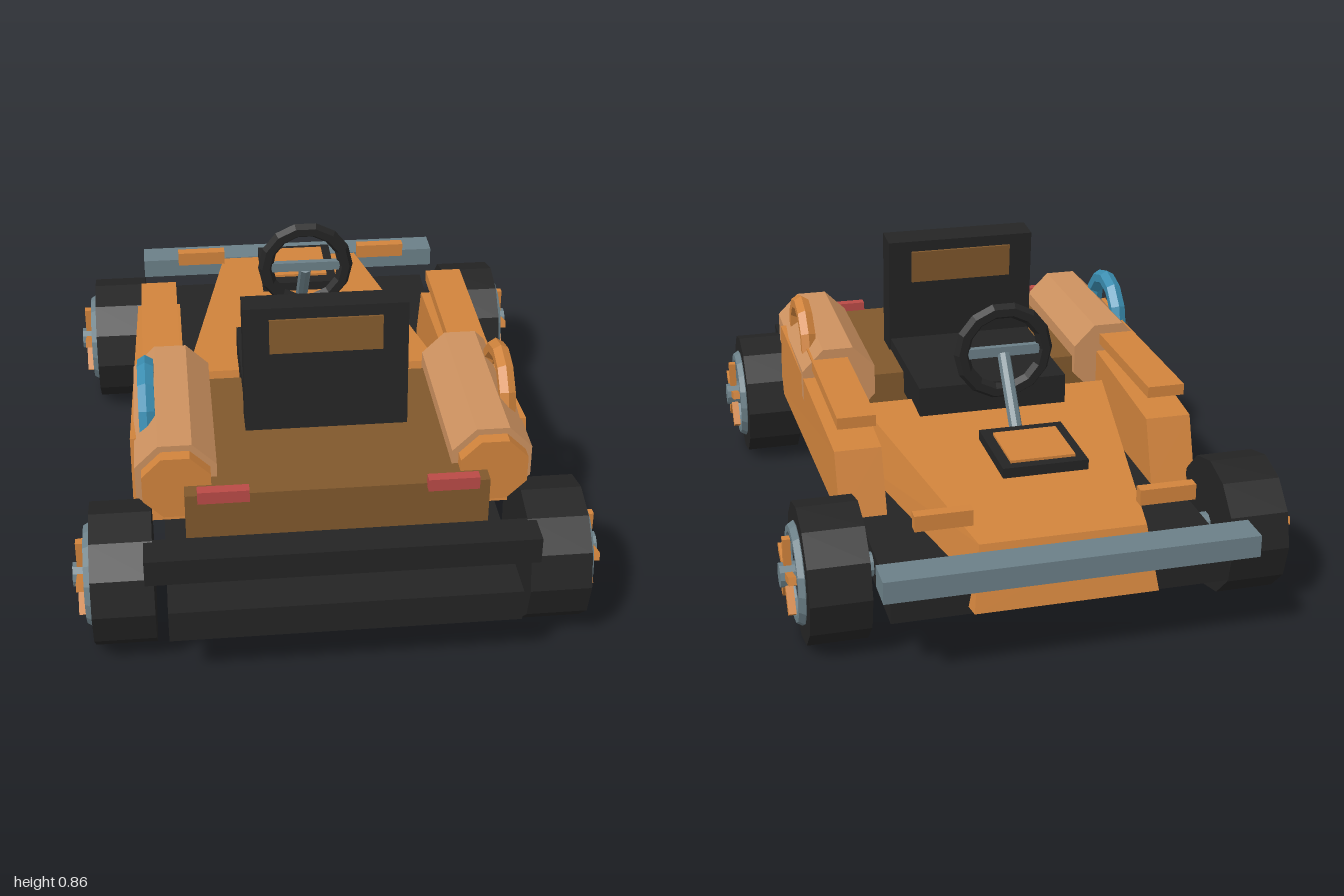
import * as THREE from 'three';

const mat = (name, color) => {
  const m = new THREE.MeshStandardMaterial({ color });
  m.name = name;
  return m;
};

export function createModel() {
  const kart = new THREE.Group();
  kart.name = 'kart';
  const orange = mat('orange', 0xd0833c);
  const lightOrange = mat('lightOrange', 0xcc915f);
  const brown = mat('brown', 0x80582c);
  const black = mat('black', 0x242424);
  const steel = mat('steel', 0x6b7f87);
  const blue = mat('blue', 0x3a8db0);
  const red = mat('red', 0xb94a46);

  // Faceted mesh
  const add = (name, geometry, material, parent = kart) => {
    const flat = geometry.index ? geometry.toNonIndexed() : geometry;
    flat.computeVertexNormals();
    const mesh = new THREE.Mesh(flat, material);
    mesh.name = name;
    parent.add(mesh);
    return mesh;
  };
  // Box given by its limits
  const box = (name, material, [x0, x1], [y0, y1], [z0, z1], parent) => add(name,
    new THREE.BoxGeometry(x1 - x0, y1 - y0, z1 - z0)
      .translate((x0 + x1) / 2, (y0 + y1) / 2, (z0 + z1) / 2), material, parent);
  // Box whose corners are moved by a rule
  const warpedBox = (name, material, rule) => {
    const g = new THREE.BoxGeometry(2, 2, 2);
    const p = g.attributes.position;
    for (let i = 0; i < p.count; i++) p.setXYZ(i, ...rule(p.getX(i), p.getY(i), p.getZ(i)));
    return add(name, g, material);
  };

  // Chassis and bumpers
  box('floorPan', black, [-0.49, 0.49], [0.16, 0.257], [-0.885, 1]);
  box('rearBumper', black, [-0.55, 0.55], [0.3, 0.38], [0.83, 0.93]);
  box('noseBumper', steel, [-0.53, 0.53], [0.29, 0.355], [-1, -0.9]);
  box('engineDeck', brown, [-0.43, 0.43], [0.28, 0.47], [0.14, 0.76]);

  // Tapered hood
  warpedBox('hood', orange, (x, y, z) => {
    if (z < 0) return y > 0 ? [x * 0.24, 0.365, -0.875] : [x * 0.265, 0.18, -0.925];
    return y > 0 ? [x * 0.4, 0.425, 0.02] : [x * 0.45, 0.25, 0.06];
  });

  // Raised plate on the hood
  box('hoodPlateFrame', black, [-0.125, 0.125], [0.465, 0.495], [-0.695, -0.42]);
  box('hoodPlate', orange, [-0.095, 0.095], [0.494, 0.503], [-0.665, -0.465]);

  // Seat, back leaning slightly forward
  box('seatCushion', black, [-0.235, 0.235], [0.4, 0.51], [-0.105, 0.4]);
  const back = new THREE.Group();
  back.name = 'seatBack';
  back.position.set(0, 0.65, 0.38);
  back.rotation.x = -0.08;
  kart.add(back);
  box('backrest', black, [-0.24, 0.24], [-0.2, 0.205], [-0.048, 0.048], back);
  box('headrestPanel', brown, [-0.165, 0.165], [0.065, 0.17], [-0.056, 0.056], back);

  // Steering
  add('steeringWheel', new THREE.TorusGeometry(0.13, 0.024, 6, 14)
    .translate(0, 0.66, -0.225), black);
  box('steeringCrossbar', steel, [-0.12, 0.12], [0.645, 0.675], [-0.235, -0.215]);
  const top = new THREE.Vector3(0, 0.65, -0.23), low = new THREE.Vector3(0, 0.37, -0.45);
  const column = add('steeringColumn',
    new THREE.CylinderGeometry(0.02, 0.02, top.distanceTo(low), 8), steel);
  column.position.copy(top).lerp(low, 0.5);
  column.quaternion.setFromUnitVectors(new THREE.Vector3(0, 1, 0), top.clone().sub(low).normalize());

  for (const s of [-1, 1]) {
    const side = s > 0 ? 'left' : 'right';
    const span = (a, b) => (s > 0 ? [a, b] : [-b, -a]);

    // Side panel
    warpedBox(side + 'SidePanel', orange, (x, y, z) => {
      const outer = x * s > 0;
      if (z < 0) return [s * (outer ? 0.55 : 0.41), y > 0 ? 0.455 : 0.265, y > 0 ? -0.38 : -0.445];
      return [s * (outer ? 0.577 : 0.41), y > 0 ? 0.52 : 0.265, y > 0 ? 0.53 : 0.58];
    });
    box(side + 'SideRail', orange, span(0.42, 0.535), [0.515, 0.55], [-0.36, 0.33]);

    // Octagonal pod with a smaller core showing at the end
    const pod = (name, material, r, z0, z1) => add(side + name,
      new THREE.CylinderGeometry(r, r, z1 - z0, 8).rotateY(Math.PI / 8).rotateX(Math.PI / 2)
        .translate(s * 0.45, 0.465, (z0 + z1) / 2), material);
    pod('Pod', lightOrange, 0.125, 0.115, 0.67);
    pod('PodCore', orange, 0.105, 0.15, 0.71);

    // Arched handle
    add(side + 'Handle', new THREE.TorusGeometry(0.135, 0.027, 6, 6, Math.PI)
      .rotateY(Math.PI / 2).translate(s * 0.525, 0.515, 0.37), s > 0 ? orange : blue);

    // Lamps
    box(side + 'TailLamp', red, span(0.25, 0.395), [0.46, 0.498], [0.755, 0.787]);
    box(side + 'NoseLamp', orange, span(0.24, 0.405), [0.393, 0.44], [-0.815, -0.78]);

    // Wheels
    for (const [end, z] of [['rear', 0.735], ['front', -0.62]]) {
      const wheel = new THREE.Group();
      wheel.name = end + side[0].toUpperCase() + side.slice(1) + 'Wheel';
      wheel.position.set(s * 0.6125, 0.205, z);
      if (s < 0) wheel.rotation.y = Math.PI;
      kart.add(wheel);
      add('tire', new THREE.CylinderGeometry(0.205, 0.205, 0.175, 12).rotateZ(Math.PI / 2), black, wheel);
      add('rim', new THREE.TorusGeometry(0.13, 0.02, 6, 16).rotateY(Math.PI / 2)
        .translate(0.09, 0, 0), steel, wheel);
      add('axle', new THREE.CylinderGeometry(0.036, 0.036, 0.3, 10).rotateZ(Math.PI / 2)
        .translate(-0.007, 0, 0), steel, wheel);
      for (let i = 0; i < 5; i++) {
        add('spoke', new THREE.BoxGeometry(0.022, 0.09, 0.024).translate(0.119, 0.07, 0)
          .rotateX(i * Math.PI * 2 / 5), orange, wheel);
      }
    }
  }
  return kart;
}
